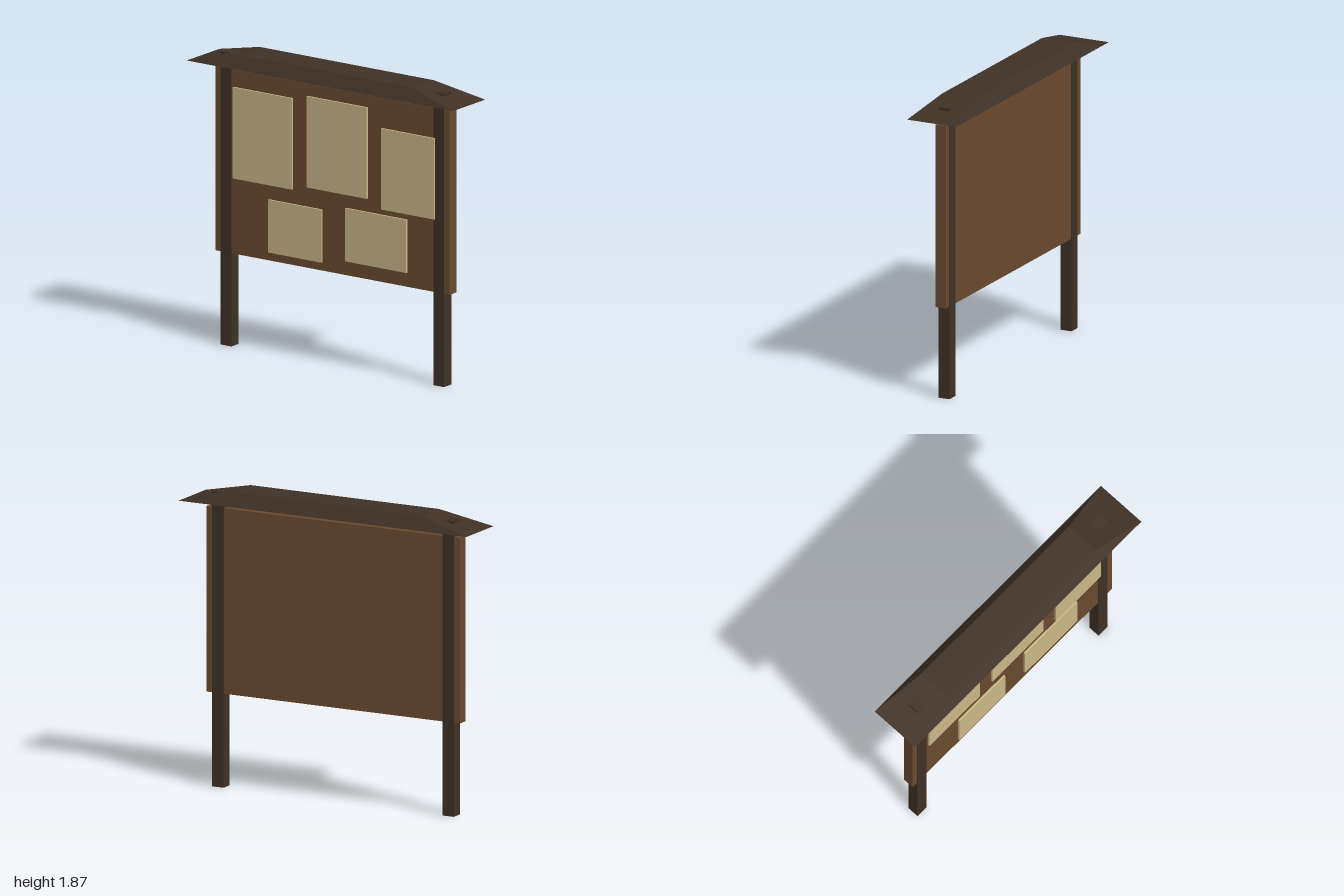
import * as THREE from 'three';

export function createModel() {
  const group = new THREE.Group();
  const mat = (name, color) => {
    const m = new THREE.MeshStandardMaterial({ color });
    m.name = name;
    return m;
  };
  const darkWood = mat('dark wood', 0x3f3126);
  const boardWood = mat('board wood', 0x6a4a2f);
  const paper = mat('paper', 0xcab788);

  // Box given by its limits on each axis
  const addBox = (name, material, [x0, x1], [y0, y1], [z0, z1]) => {
    const mesh = new THREE.Mesh(new THREE.BoxGeometry(x1 - x0, y1 - y0, z1 - z0), material);
    mesh.position.set((x0 + x1) / 2, (y0 + y1) / 2, (z0 + z1) / 2);
    mesh.name = name;
    group.add(mesh);
  };

  // Two square posts, whose tops poke slightly through the roof
  addBox('leftPost', darkWood, [0.76, 0.84], [0, 1.84], [-0.038, 0.038]);
  addBox('rightPost', darkWood, [-0.84, -0.76], [0, 1.84], [-0.038, 0.038]);

  // Notice board between and just past the posts
  addBox('board', boardWood, [-0.88, 0.88], [0.585, 1.74], [-0.035, 0.035]);

  // Pinned sheets: x range, y range
  const sheets = [
    [[-0.743, -0.296], [1.06, 1.633]],
    [[-0.187, 0.265], [1.092, 1.665]],
    [[0.374, 0.773], [1.043, 1.552]],
    [[-0.477, -0.074], [0.637, 0.969]],
    [[0.102, 0.563], [0.674, 1.008]],
  ];
  sheets.forEach(([x, y], i) => addBox(`sheet${i + 1}`, paper, x, y, [0.034, 0.047]));

  // Roof: a box whose top face is drawn in on all sides
  const roofGeo = new THREE.BoxGeometry(2, 0.08, 0.336);
  const pos = roofGeo.attributes.position;
  for (let i = 0; i < pos.count; i++) {
    if (pos.getY(i) > 0) {
      pos.setX(i, Math.sign(pos.getX(i)) * 0.655);
      pos.setZ(i, Math.sign(pos.getZ(i)) * 0.11);
    }
  }
  roofGeo.computeVertexNormals();
  const roof = new THREE.Mesh(roofGeo, darkWood);
  roof.position.y = 1.826;
  roof.name = 'roof';
  group.add(roof);

  return group;
}
